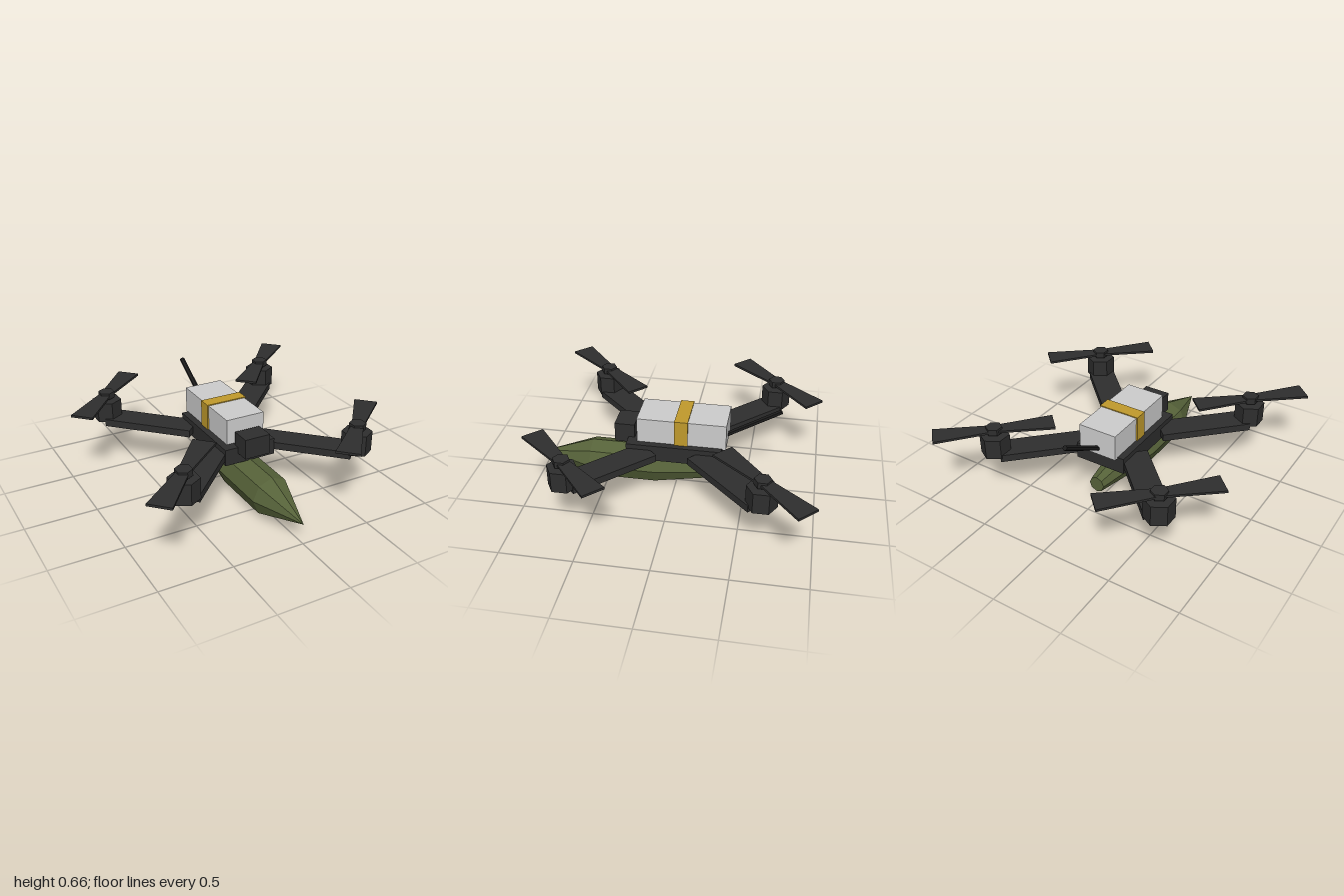
import * as THREE from 'three';

const mat = (name, color) => {
  const m = new THREE.MeshStandardMaterial({ color, flatShading: true });
  m.name = name;
  return m;
};

export function createModel() {
  const dark = mat('dark frame', 0x2e2e2e);
  const black = mat('antenna black', 0x1c1c1c);
  const grey = mat('battery grey', 0xcccccc);
  const gold = mat('strap gold', 0xc09a2c);
  const green = mat('olive green', 0x566239);

  const model = new THREE.Group();
  model.name = 'quadcopter';
  const add = (parent, name, geometry, material, x = 0, y = 0, z = 0) => {
    const mesh = new THREE.Mesh(geometry, material);
    mesh.name = name;
    mesh.position.set(x, y, z);
    parent.add(mesh);
    return mesh;
  };
  const Z0 = -0.006; // centre of the airframe

  // Body, battery, strap and camera
  add(model, 'body', new THREE.BoxGeometry(0.38, 0.118, 0.666), dark, 0, 0.339, Z0);
  add(model, 'battery', new THREE.BoxGeometry(0.284, 0.19, 0.622), grey, 0, 0.484, -0.055);
  add(model, 'batteryStrap', new THREE.BoxGeometry(0.304, 0.197, 0.094), gold, 0, 0.487, -0.054);
  add(model, 'camera', new THREE.BoxGeometry(0.188, 0.142, 0.142), dark, 0, 0.425, 0.354);

  // Antenna leaning backwards
  const from = new THREE.Vector3(0, 0.425, -0.345);
  const to = new THREE.Vector3(0, 0.65, -0.722);
  const dir = to.clone().sub(from);
  const antenna = add(model, 'antenna', new THREE.CylinderGeometry(0.018, 0.018, dir.length(), 6), black);
  antenna.position.copy(from).add(to).multiplyScalar(0.5);
  antenna.quaternion.setFromUnitVectors(new THREE.Vector3(0, 1, 0), dir.normalize());

  // Eight-sided pointed pod under the body
  const profile = [[0, -0.386], [0.057, -0.386], [0.142, 0.145], [0.142, 0.615], [0, 0.998]]
    .map(([r, z]) => new THREE.Vector2(r, z));
  const pod = new THREE.LatheGeometry(profile, 8);
  pod.rotateX(Math.PI / 2);
  add(model, 'pod', pod, green, 0, 0.144, 0);

  // Rotor blade outline: widens from the hub to the tip
  const blade = new THREE.Shape([
    new THREE.Vector2(0.02, -0.042), new THREE.Vector2(0.409, -0.081),
    new THREE.Vector2(0.409, 0.081), new THREE.Vector2(0.02, 0.042),
  ]);
  const bladeGeometry = new THREE.ExtrudeGeometry(blade, { depth: 0.016, bevelEnabled: false });
  bladeGeometry.rotateX(-Math.PI / 2).translate(0, -0.008, 0);

  const armGeometry = new THREE.BoxGeometry(0.648, 0.052, 0.189);
  const motorGeometry = new THREE.CylinderGeometry(0.104, 0.104, 0.146, 6);
  const shaftGeometry = new THREE.CylinderGeometry(0.02, 0.02, 0.04, 6);
  const hubGeometry = new THREE.CylinderGeometry(0.058, 0.058, 0.045, 6);

  for (const sx of [-1, 1]) for (const sz of [-1, 1]) {
    const unit = new THREE.Group();
    unit.name = `${sz > 0 ? 'front' : 'back'}${sx > 0 ? 'Left' : 'Right'}Unit`;
    unit.position.z = Z0;
    model.add(unit);

    // Diagonal arm
    const a = 0.571 * Math.SQRT1_2;
    const arm = add(unit, 'arm', armGeometry, dark, sx * a, 0.336, sz * a);
    arm.rotation.y = -sx * sz * Math.PI / 4;

    // Motor, hub and two blades
    const m = 0.648;
    add(unit, 'motor', motorGeometry, dark, sx * m, 0.411, sz * m);
    add(unit, 'shaft', shaftGeometry, dark, sx * m, 0.495, sz * m);
    add(unit, 'hub', hubGeometry, dark, sx * m, 0.522, sz * m);
    for (const turn of [0, Math.PI]) {
      add(unit, 'blade', bladeGeometry, dark, sx * m, 0.521, sz * m).rotation.y = Math.PI / 4 + turn;
    }
  }
  return model;
}
